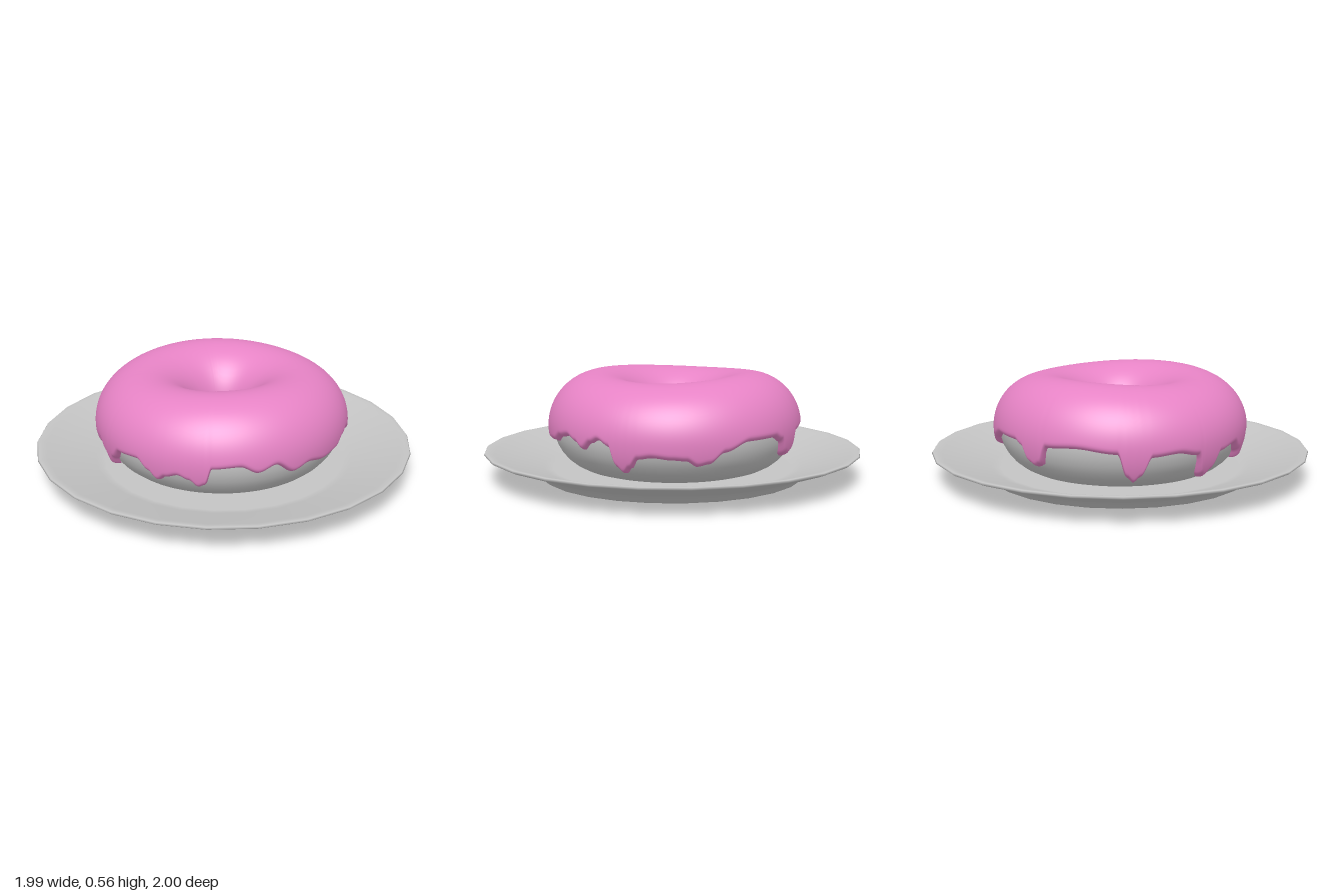
import * as THREE from 'three';

const glaze = new THREE.MeshStandardMaterial({ color: 0xe683c5 });
glaze.name = 'pink icing';
const grey = new THREE.MeshStandardMaterial({ color: 0xc4c4c4 });
grey.name = 'light grey';

const RING = 0.4;      // radius of the ring's centre line
const MID = 0.28;      // height of the ring's centre

// Lower edge of the icing: [degrees from the front towards +x, height]
const DRIPS = [
  [0, .215], [10, .225], [17, .26], [24, .275], [30, .25], [34, .22], [39, .26], [43, .28],
  [49, .25], [52, .15], [55, .12], [58, .15], [62, .2], [68, .21], [77, .2], [83, .195],
  [88, .165], [93, .175], [100, .23], [112, .275], [127, .275], [132, .25], [136, .175],
  [139, .16], [142, .175], [146, .27], [160, .28], [178, .26], [182, .14], [185, .11],
  [188, .14], [193, .24], [205, .25], [215, .23], [218, .12], [220, .1], [223, .13],
  [228, .22], [240, .24], [246, .19], [249, .14], [252, .19], [258, .25], [270, .26],
  [276, .21], [280, .17], [284, .2], [290, .22], [295, .2], [299, .165], [302, .18],
  [305, .27], [317, .28], [325, .24], [333, .27], [342, .21], [350, .235], [360, .215],
];

function edgeHeight(deg) {
  const i = Math.max(1, DRIPS.findIndex(d => d[0] >= deg));
  const [a, ya] = DRIPS[i - 1], [b, yb] = DRIPS[i];
  return THREE.MathUtils.lerp(ya, yb, THREE.MathUtils.smoothstep(deg, a, b));
}

// Ring-shaped shell that ends in a rounded bead along the drip edge
function icingGeometry(columns = 540, rows = 44) {
  const pos = [], index = [];
  for (let c = 0; c < columns; c++) {
    const deg = c / columns * 360, phi = THREE.MathUtils.degToRad(deg);
    const start = Math.PI + 0.5;
    const end = Math.asin((edgeHeight(deg) - MID) / 0.27);
    const swell = 0.27 + 0.011 * Math.cos(2 * (phi - 2.53));
    for (let k = 0; k <= rows; k++) {
      const u = 1 - Math.pow(1 - k / rows, 1.8);
      const a = start + (end - start) * u;
      const cos = Math.cos(a), sin = Math.sin(a);
      const near = Math.min((a - end) / 0.12, 1);
      const f = -0.2 + 1.2 * Math.sqrt(Math.max(0, 1 - (1 - near) ** 2));
      // hanging parts fall straighter than the dough beneath
      const bulge = sin < 0 && cos > 0 ? Math.pow(cos, 0.7) : cos;
      const r = RING + THREE.MathUtils.lerp(0.24 * cos, 0.272 * bulge, f);
      const y = MID + sin * (sin > 0 ? THREE.MathUtils.lerp(0.235, swell, f) : 0.27);
      pos.push(r * Math.sin(phi), y, r * Math.cos(phi));
      if (k < rows) {
        const p = c * (rows + 1) + k, q = ((c + 1) % columns) * (rows + 1) + k;
        index.push(p, p + 1, q, q, p + 1, q + 1);
      }
    }
  }
  const g = new THREE.BufferGeometry();
  g.setAttribute('position', new THREE.Float32BufferAttribute(pos, 3));
  g.setIndex(index);
  g.computeVertexNormals();
  return g;
}

export function createModel() {
  const model = new THREE.Group();
  model.name = 'donutOnPlate';
  const add = (name, geometry, material) => {
    const mesh = new THREE.Mesh(geometry, material);
    mesh.name = name;
    model.add(mesh);
    return mesh;
  };

  // Plate: base, flared underside, thin rim, sloping well and flat floor
  const profile = [
    [0, 0], [0.66, 0], [0.69, 0.004], [0.705, 0.014], [0.74, 0.045], [0.78, 0.062],
    [0.97, 0.128], [0.99, 0.136], [1, 0.144], [0.995, 0.151], [0.975, 0.15],
    [0.95, 0.143], [0.74, 0.078], [0.69, 0.06], [0.66, 0.052], [0.64, 0.05], [0, 0.05],
  ].map(([x, y]) => new THREE.Vector2(x, y));
  add('plate', new THREE.LatheGeometry(profile, 26), grey);

  // Dough ring
  const dough = new THREE.TorusGeometry(RING, 0.242, 32, 80);
  dough.rotateX(-Math.PI / 2).scale(1, 0.97, 1).translate(0, MID, -0.01);
  add('dough', dough, grey);

  // Dripping icing
  const icing = add('icing', icingGeometry(), glaze);
  icing.material.side = THREE.DoubleSide;
  icing.position.z = -0.012;

  return model;
}
